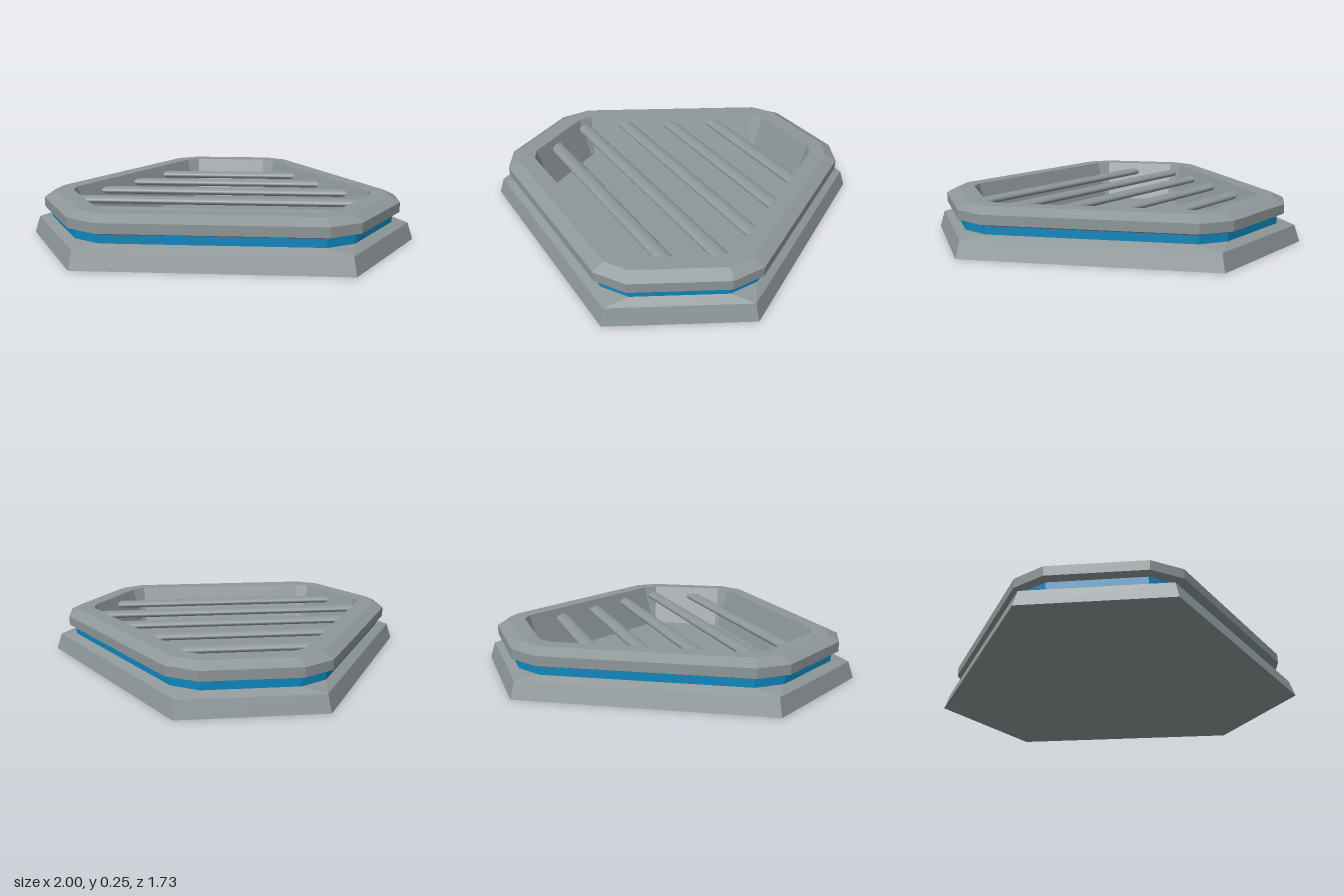
import * as THREE from 'three';

// Hexagon corners [x, z] counter-clockwise from above, with the shift per unit of inset
const HEX = [
  [0.645, 0.865, -0.577, -1], [1, 0.245, -1.155, 0], [0.36, -0.865, -0.577, 1],
  [-0.36, -0.865, 0.577, 1], [-1, 0.245, 1.155, 0], [-0.645, 0.865, 0.577, -1],
];

// Twelve points: the hexagon moved inward by inset, its corners cut back along the edges
function hexRing({ y, inset, cut }) {
  if (inset === undefined) return Array.from({ length: 12 }, () => new THREE.Vector3(0, y, 0));
  const c = HEX.map(([x, z, dx, dz]) => new THREE.Vector3(x + dx * inset, y, z + dz * inset));
  return c.flatMap((p, i) => [c[(i + 5) % 6], c[(i + 1) % 6]].map((q) =>
    p.clone().addScaledVector(q.clone().sub(p).normalize(), cut)));
}

// Flat-faced skin through a list of levels; a level without inset closes to the centre
function loft(levels) {
  const rings = levels.map(hexRing);
  const pos = [];
  const tri = (a, b, c) => {
    if (a.distanceTo(b) < 1e-5 || b.distanceTo(c) < 1e-5 || a.distanceTo(c) < 1e-5) return;
    for (const p of [a, b, c]) pos.push(p.x, p.y, p.z);
  };
  for (let k = 0; k < rings.length - 1; k++) {
    const a = rings[k], b = rings[k + 1];
    for (let i = 0; i < 12; i++) {
      const j = (i + 1) % 12;
      tri(a[i], a[j], b[j]);
      tri(a[i], b[j], b[i]);
    }
  }
  const g = new THREE.BufferGeometry();
  g.setAttribute('position', new THREE.Float32BufferAttribute(pos, 3));
  g.computeVertexNormals();
  return g;
}

// Half width of the recess at a given height and depth
const recessTop = 0.245, floorY = 0.02;
function recessHalfWidth(y, z) {
  const inset = 0.18 + 0.075 * (recessTop - y) / (recessTop - floorY);
  const back = 0.36 + (z + 0.865) * 0.577;
  const front = 0.645 + (0.865 - z) * 0.573;
  return Math.min(Math.min(back, front) - 1.155 * inset, 0.755);
}

export function createModel() {
  const group = new THREE.Group();
  const grey = new THREE.MeshStandardMaterial({ color: 0x8e9698 });
  grey.name = 'grey metal';
  const blue = new THREE.MeshStandardMaterial({ color: 0x0e86bc });
  blue.name = 'blue glow';
  const add = (name, geometry, material) => {
    const mesh = new THREE.Mesh(geometry, material);
    mesh.name = name;
    group.add(mesh);
  };

  const ledge = { y: 0.11, inset: 0.07, cut: 0.088 };
  const bandTop = { y: 0.152, inset: 0.07, cut: 0.088 };
  const rimInner = { y: recessTop, inset: 0.18, cut: 0.045 };
  const floorEdge = { y: floorY, inset: 0.255, cut: 0.012 };

  add('base', loft([
    { y: 0 }, { y: 0, inset: 0, cut: 0 }, { y: 0.087, inset: 0.025, cut: 0 }, ledge,
  ]), grey);
  add('lightBand', loft([ledge, bandTop]), blue);
  add('rim', loft([
    bandTop,
    { y: 0.165, inset: 0.035, cut: 0.1 },
    { y: 0.215, inset: 0.035, cut: 0.1 },
    { y: recessTop, inset: 0.095, cut: 0.075 },
    rimInner,
  ]), grey);
  add('recessWall', loft([rimInner, floorEdge]), grey);
  add('recessFloor', loft([floorEdge, { y: floorY }]), grey);

  // Rounded slats whose ends follow the sloping walls
  for (let i = 0; i < 5; i++) {
    const g = new THREE.CylinderGeometry(1, 1, 2, 24).rotateZ(Math.PI / 2);
    g.scale(1, 0.02, 0.04).translate(0, 0.19, -0.44 + i * 0.234);
    const p = g.attributes.position;
    for (let v = 0; v < p.count; v++) {
      p.setX(v, Math.sign(p.getX(v)) * (recessHalfWidth(p.getY(v), p.getZ(v)) + 0.004));
    }
    add('slat' + (i + 1), g, grey);
  }
  return group;
}
